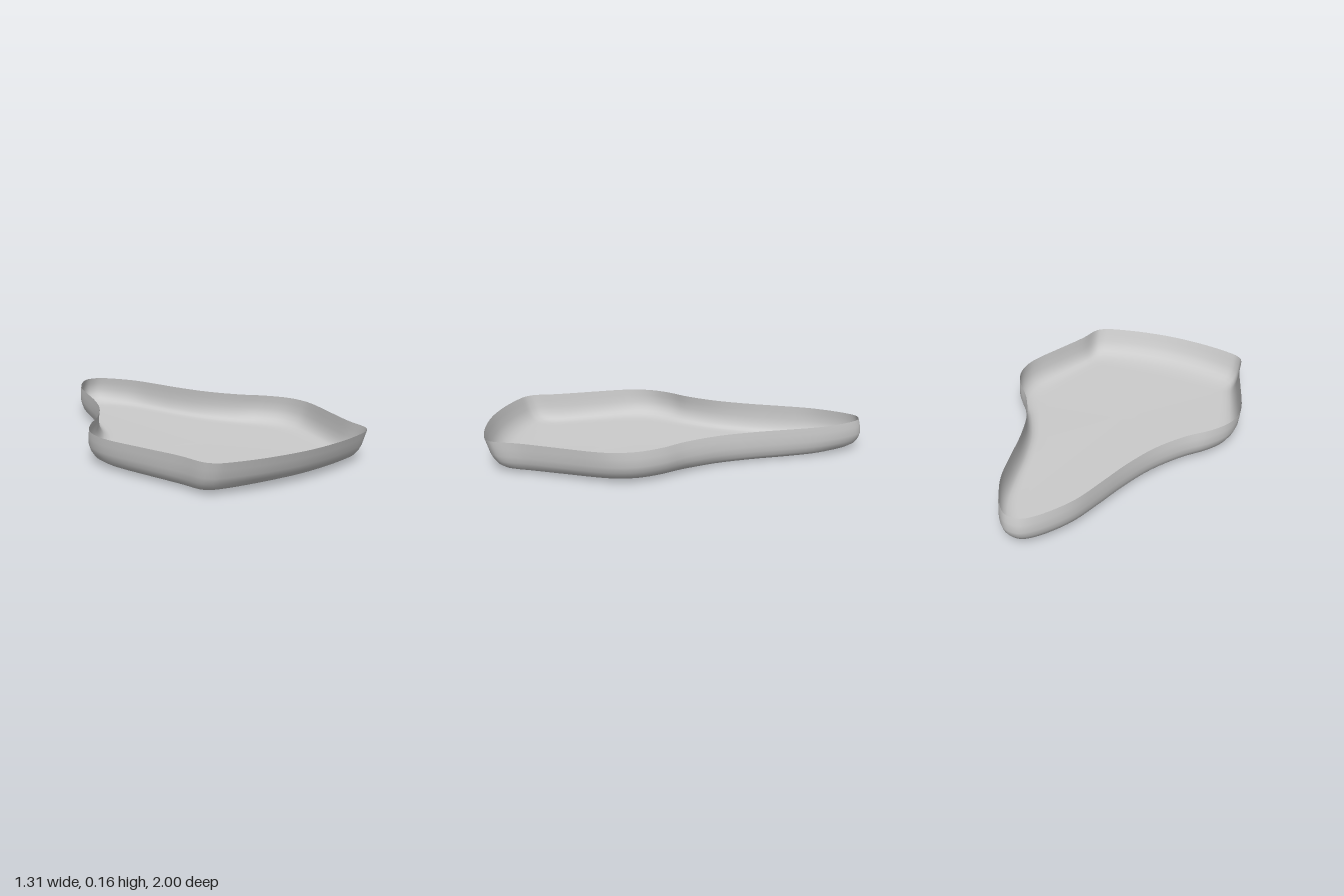
import * as THREE from 'three';

// Half plan from the rear tip to the front: rim x, rim z, floor x, floor z
const PLAN = [
  [0, -0.985, 0, -0.87], [0.06, -0.965, 0.03, -0.86], [0.13, -0.88, 0.085, -0.81],
  [0.2, -0.75, 0.15, -0.7], [0.25, -0.58, 0.205, -0.55], [0.3, -0.4, 0.255, -0.38],
  [0.37, -0.22, 0.325, -0.19], [0.47, -0.06, 0.42, -0.02], [0.57, 0.05, 0.495, 0.1],
  [0.637, 0.16, 0.53, 0.19], [0.657, 0.27, 0.535, 0.27], [0.64, 0.38, 0.525, 0.36],
  [0.58, 0.56, 0.485, 0.53], [0.52, 0.74, 0.445, 0.68], [0.497, 0.86, 0.425, 0.74],
  [0.465, 0.91, 0.4, 0.765], [0.4, 0.942, 0.35, 0.78], [0.22, 0.982, 0.2, 0.79],
  [0, 1, 0, 0.8],
];

// Wall section: height, blend from rim to floor outline, shift in z
const SECTION = [
  [0.16, 0, 0], [0.125, 0.01, -0.01], [0.085, 0.04, -0.018], [0.055, 0.13, -0.018],
  [0.03, 0.27, -0.016], [0.016, 0.46, -0.01], [0.007, 0.7, -0.004], [0.002, 1, 0],
];

// Closed smooth outline, mirrored across x = 0
function outline(ix, iz) {
  const half = PLAN.map((p) => new THREE.Vector3(p[ix], 0, p[iz]));
  const mirrored = half.slice(1, -1).reverse().map((p) => new THREE.Vector3(-p.x, 0, p.z));
  return new THREE.CatmullRomCurve3([...half, ...mirrored], true, 'catmullrom', 0.5);
}

function trayGeometry(n = 144) {
  const rim = outline(0, 1).getPoints(n);
  const floor = outline(2, 3).getPoints(n);
  const positions = [];
  const indices = [];

  // Rings of the curved wall, from the rim down
  for (const [y, blend, shift] of SECTION) {
    for (let j = 0; j < n; j++) {
      const p = rim[j].clone().lerp(floor[j], blend);
      positions.push(p.x, y, p.z + shift);
    }
  }
  for (let r = 0; r < SECTION.length - 1; r++) {
    for (let j = 0; j < n; j++) {
      const k = (j + 1) % n;
      const a = r * n + j, b = r * n + k;
      indices.push(a, a + n, b, b, a + n, b + n);
    }
  }

  // Inner floor ring keeps the bottom flat, then a fan closes it
  const edge = (SECTION.length - 1) * n;
  const inner = SECTION.length * n;
  const cz = 0.2;
  for (let j = 0; j < n; j++) positions.push(floor[j].x * 0.9, 0, cz + (floor[j].z - cz) * 0.9);
  positions.push(0, 0, cz);
  for (let j = 0; j < n; j++) {
    const k = (j + 1) % n;
    indices.push(edge + j, inner + j, edge + k, edge + k, inner + j, inner + k);
    indices.push(inner + n, inner + k, inner + j);
  }

  const geometry = new THREE.BufferGeometry();
  geometry.setAttribute('position', new THREE.Float32BufferAttribute(positions, 3));
  geometry.setIndex(indices);
  geometry.computeVertexNormals();
  return geometry;
}

export function createModel() {
  const group = new THREE.Group();
  group.name = 'shallowTray';
  const material = new THREE.MeshStandardMaterial({ color: 0xcccccc, side: THREE.DoubleSide });
  const tray = new THREE.Mesh(trayGeometry(), material);
  tray.name = 'trayShell';
  group.add(tray);
  return group;
}
